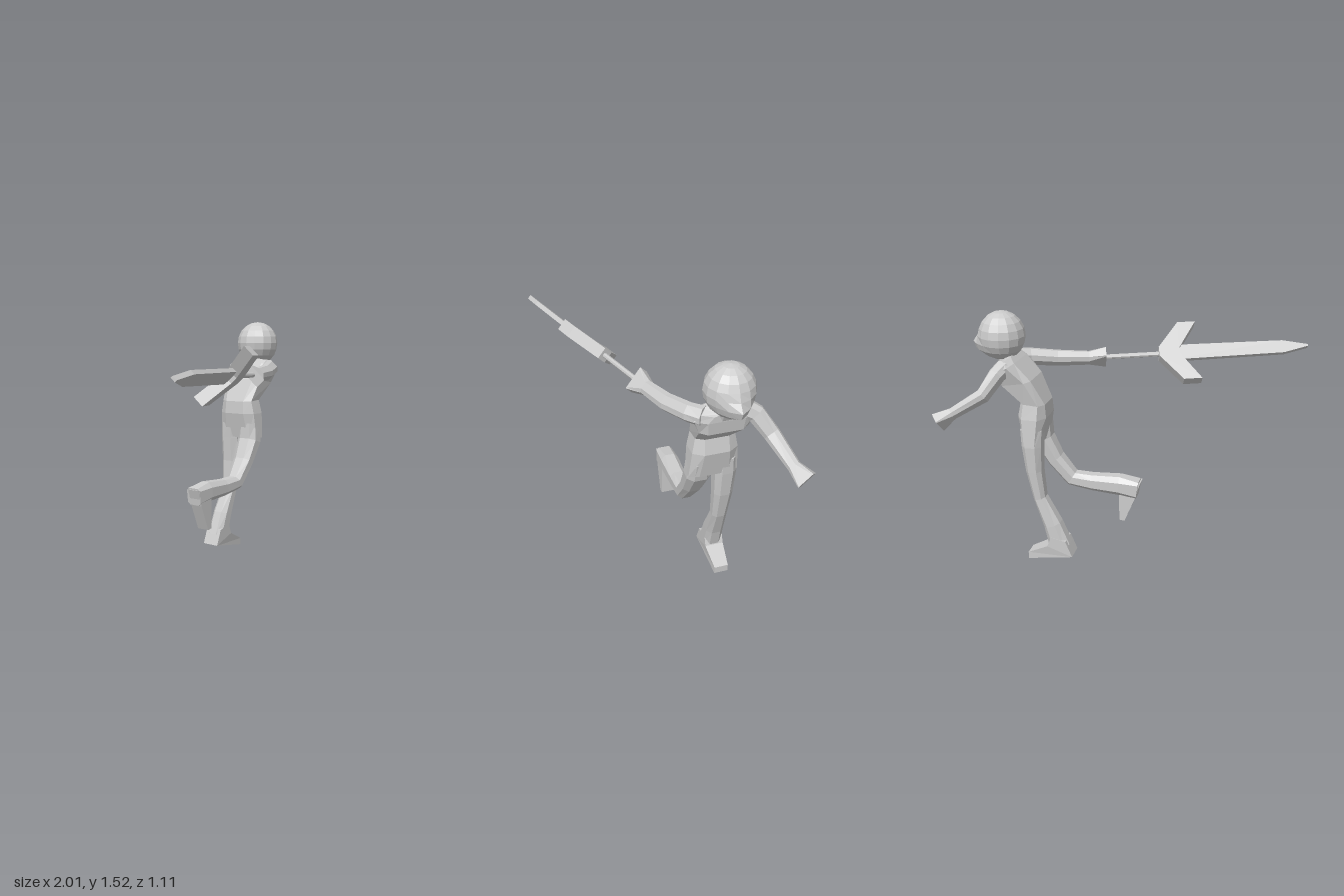
import * as THREE from 'three';

const V = (x, y, z) => new THREE.Vector3(x, y, z);
const mat = new THREE.MeshStandardMaterial({ color: 0xcccccc, flatShading: true });
const MID = -0.18; // z of the body's middle

function mesh(name, geo) {
  const m = new THREE.Mesh(geo, mat);
  m.name = name;
  return m;
}

// Eight-sided ring: s and w are half-axes, k sets how square the corners are
function ring(c, s, w, k = 0.5) {
  return [[1, -k], [1, k], [k, 1], [-k, 1], [-1, k], [-1, -k], [-k, -1], [k, -1]]
    .map(([a, b]) => c.clone().addScaledVector(s, a).addScaledVector(w, b));
}

// Skin between rings, closed at both ends
function loft(rings) {
  const pos = [], idx = [], n = 8;
  rings.flat().forEach(p => pos.push(p.x, p.y, p.z));
  for (let r = 0; r < rings.length - 1; r++) {
    for (let i = 0; i < n; i++) {
      const a = r * n + i, b = r * n + (i + 1) % n;
      idx.push(a, b, b + n, a, b + n, a + n);
    }
  }
  const last = (rings.length - 1) * n;
  for (let i = 1; i < n - 1; i++) {
    idx.push(0, i + 1, i, last, last + i, last + i + 1);
  }
  const g = new THREE.BufferGeometry();
  g.setAttribute('position', new THREE.Float32BufferAttribute(pos, 3));
  g.setIndex(idx);
  g.computeVertexNormals();
  return g;
}

// Limb along rows of [x, y, z, half width along side, other half width, squareness]
function limb(rows, side) {
  const pts = rows.map(r => V(r[0], r[1], r[2]));
  return loft(rows.map((r, i) => {
    const t = pts[Math.min(i + 1, pts.length - 1)].clone().sub(pts[Math.max(i - 1, 0)]).normalize();
    const s = side.clone().addScaledVector(t, -side.dot(t)).normalize();
    const w = t.clone().cross(s);
    return ring(pts[i], s.multiplyScalar(r[3]), w.multiplyScalar(r[4]), r[5]);
  }));
}

// Flat outline given thickness, centred on z
function slab(points, depth) {
  const shape = new THREE.Shape(points.map(p => new THREE.Vector2(...p)));
  const g = new THREE.ExtrudeGeometry(shape, { depth, bevelEnabled: false });
  return g.translate(0, 0, -depth / 2);
}

// Faceted ball with a pointed lower face
function headGeometry() {
  const g = new THREE.SphereGeometry(1, 14, 10).scale(0.134, 0.14, 0.134);
  const p = g.attributes.position;
  for (let i = 0; i < p.count; i++) {
    const x = p.getX(i), y = p.getY(i), z = p.getZ(i);
    if (x > 0.02) {
      const k = Math.max(0, 1 - Math.abs(z) / 0.1) * Math.max(0, 1 - Math.abs(y + 0.065) / 0.08);
      p.setX(i, x + 0.07 * k);
    }
  }
  g.computeVertexNormals();
  return g.translate(0.697, 1.388, MID);
}

export function createModel() {
  const model = new THREE.Group();
  model.name = 'swordFighter';

  // Torso: back x, y, front x, y, half width, squareness
  const torso = [
    [0.465, 0.77, 0.57, 0.77, 0.142, 0.6],
    [0.43, 0.93, 0.6, 0.93, 0.13, 0.55],
    [0.435, 1.01, 0.58, 1.02, 0.113, 0.6],
    [0.505, 1.155, 0.69, 1.125, 0.135, 0.7],
    [0.595, 1.255, 0.7, 1.2, 0.168, 0.6],
    [0.625, 1.285, 0.7, 1.235, 0.14, 0.5],
    [0.645, 1.285, 0.7, 1.245, 0.06, 0.5],
  ].map(([bx, by, fx, fy, hz, k]) => ring(
    V((bx + fx) / 2, (by + fy) / 2, MID), V(0, 0, hz), V((fx - bx) / 2, (fy - by) / 2, 0), k));
  model.add(mesh('torso', loft(torso)));

  // Neck and head
  model.add(mesh('neck', limb([
    [0.655, 1.2, MID, 0.055, 0.04], [0.705, 1.32, MID, 0.05, 0.04],
  ], V(0, 0, 1))));
  model.add(mesh('head', headGeometry()));

  // Standing leg and its foot
  const z = V(0, 0, 1);
  model.add(mesh('standingLeg', limb([
    [0.515, 0.86, -0.255, 0.06, 0.065],
    [0.515, 0.76, -0.258, 0.063, 0.06],
    [0.51, 0.6, -0.257, 0.056, 0.048],
    [0.485, 0.42, -0.255, 0.046, 0.037],
    [0.41, 0.25, -0.26, 0.054, 0.053],
    [0.365, 0.11, -0.262, 0.056, 0.066],
  ], z)));
  const foot = slab([[0.28, 0.06], [0.565, 0.006], [0.565, 0.05], [0.437, 0.115],
    [0.41, 0.18], [0.32, 0.16]], 0.112);
  const fp = foot.attributes.position;
  for (let i = 0; i < fp.count; i++) if (fp.getX(i) > 0.5) fp.setZ(i, fp.getZ(i) * 0.76);
  foot.translate(0, 0, -0.262);
  foot.computeVertexNormals();
  model.add(mesh('standingFoot', foot));

  // Raised leg, bent back, and its foot
  model.add(mesh('raisedLeg', limb([
    [0.515, 0.86, -0.105, 0.06, 0.065],
    [0.5, 0.75, -0.108, 0.072, 0.057],
    [0.43, 0.62, -0.105, 0.062, 0.047],
    [0.33, 0.495, -0.1, 0.05, 0.046],
    [0.2, 0.482, -0.102, 0.05, 0.05],
    [0.03, 0.482, -0.105, 0.055, 0.06],
    [-0.085, 0.467, -0.105, 0.05, 0.053, 0.7],
  ], z)));
  model.add(mesh('raisedFoot', slab([[-0.1, 0.51], [-0.07, 0.41], [-0.005, 0.25], [0.027, 0.255],
    [0.027, 0.44], [0, 0.5]], 0.08).translate(0, 0, -0.097)));

  // Sword axes: along the blade, across it, and through its thickness
  const along = V(-1.18, 0.037, 0.39).normalize();
  const across = V(0.233, 0.7, 0.674);
  across.addScaledVector(along, -across.dot(along)).normalize();
  const through = along.clone().cross(across);

  // Sword arm, flaring into the hand
  model.add(mesh('swordArm', limb([
    [0.66, 1.225, -0.07, 0.05, 0.05],
    [0.6, 1.222, -0.015, 0.048, 0.045],
    [0.45, 1.203, 0.052, 0.046, 0.042],
    [0.27, 1.198, 0.11, 0.04, 0.036],
    [0.175, 1.2, 0.143, 0.07, 0.032, 0.9],
  ], through)));

  // Free arm
  model.add(mesh('freeArm', limb([
    [0.65, 1.23, -0.29, 0.05, 0.045],
    [0.675, 1.2, -0.345, 0.047, 0.042],
    [0.735, 1.1, -0.415, 0.042, 0.036],
    [0.9, 1.0, -0.47, 0.033, 0.029],
    [0.975, 0.955, -0.51, 0.052, 0.034, 0.9],
  ], V(0, 0.77, -0.64))));

  // Sword, built along its own x
  const sword = new THREE.Group();
  sword.name = 'sword';
  sword.add(mesh('grip', new THREE.CylinderGeometry(0.015, 0.015, 0.4, 8)
    .rotateZ(Math.PI / 2).translate(-0.16, 0, 0)));
  sword.add(mesh('guard', slab([[0, -0.03], [0.13, -0.195], [0.24, -0.195], [0.125, -0.02],
    [0.125, 0.02], [0.24, 0.195], [0.13, 0.195], [0, 0.03]], 0.07)));
  sword.add(mesh('blade', slab([[0.08, -0.05], [0.765, -0.042], [0.92, -0.006],
    [0.92, 0.006], [0.765, 0.042], [0.08, 0.05]], 0.028)));
  sword.quaternion.setFromRotationMatrix(new THREE.Matrix4().makeBasis(along, across, through));
  sword.position.set(-0.13, 1.21, 0.243);
  model.add(sword);

  return model;
}
